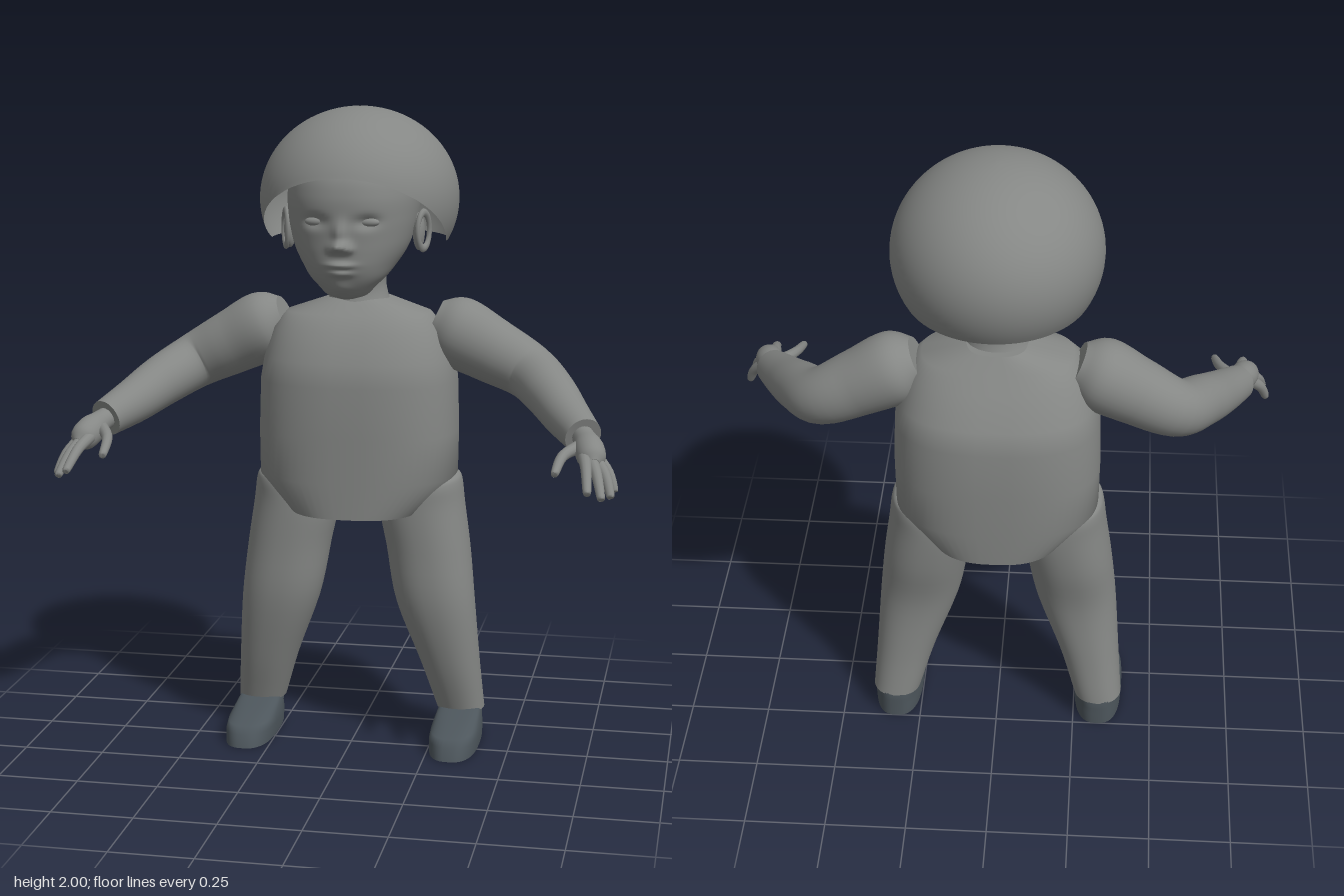
import * as THREE from 'three';

const grey = new THREE.MeshStandardMaterial({ color: 0x858785 });
grey.name = 'body grey';
const hairGrey = new THREE.MeshStandardMaterial({ color: 0x858785, side: THREE.DoubleSide });
hairGrey.name = 'hair grey';
const slate = new THREE.MeshStandardMaterial({ color: 0x4d565c });
slate.name = 'shoe slate';

// Skin a list of closed rings, with flat caps at both ends
function skin(rings, capped = true) {
  const n = rings[0].length, pos = [], idx = [];
  rings.forEach(r => r.forEach(p => pos.push(p.x, p.y, p.z)));
  for (let i = 0; i < rings.length - 1; i++) {
    for (let j = 0; j < n; j++) {
      const a = i * n + j, b = i * n + (j + 1) % n;
      idx.push(a, a + n, b, b, a + n, b + n);
    }
  }
  const cap = (ring, top) => {
    const base = pos.length / 3, c = new THREE.Vector3();
    ring.forEach(p => { pos.push(p.x, p.y, p.z); c.addScaledVector(p, 1 / n); });
    pos.push(c.x, c.y, c.z);
    for (let j = 0; j < n; j++) {
      const a = base + j, b = base + (j + 1) % n;
      idx.push(base + n, top ? b : a, top ? a : b);
    }
  };
  if (capped) { cap(rings[0], false); cap(rings.at(-1), true); }
  const g = new THREE.BufferGeometry();
  g.setAttribute('position', new THREE.Float32BufferAttribute(pos, 3));
  g.setIndex(idx);
  g.computeVertexNormals();
  return g;
}

// Stack of superellipse sections; rows are [y, xMin, xMax, zFront, zBack]
function loft(rows, { power = 2, cols = 48, steps = 0, shape = null } = {}) {
  let list = rows;
  if (steps) {
    const spline = f => new THREE.CatmullRomCurve3(rows.map(f), false, 'catmullrom');
    const xs = spline(r => new THREE.Vector3(r[0], r[1], r[2]));
    const zs = spline(r => new THREE.Vector3(r[0], r[3], r[4]));
    list = Array.from({ length: steps + 1 }, (_, i) => {
      const a = xs.getPoint(i / steps), b = zs.getPoint(i / steps);
      return [a.x, a.y, a.z, b.y, b.z];
    });
  }
  const round = v => Math.sign(v) * Math.abs(v) ** (2 / power);
  return skin(list.map(([y, x0, x1, zf, zb]) => Array.from({ length: cols }, (_, j) => {
    const a = j / cols * Math.PI * 2;
    const p = new THREE.Vector3((x0 + x1) / 2 + (x1 - x0) / 2 * round(Math.cos(a)), y,
      (zf + zb) / 2 + (zf - zb) / 2 * round(Math.sin(a)));
    if (shape) shape(p, Math.sin(a));
    return p;
  })));
}

// Round limb along a curve; points are [x, y, z, radius]
function limb(points, steps = 24, cols = 24) {
  const curve = new THREE.CatmullRomCurve3(points.map(p => new THREE.Vector3(...p.slice(0, 3))), false, 'catmullrom');
  const radii = new THREE.CatmullRomCurve3(points.map(p => new THREE.Vector3(p[3], 0, 0)), false, 'catmullrom');
  let N = new THREE.Vector3(0, 1, 0);
  const rings = [];
  for (let i = 0; i <= steps; i++) {
    const T = curve.getTangent(i / steps), c = curve.getPoint(i / steps), r = radii.getPoint(i / steps).x;
    N = N.clone().addScaledVector(T, -N.dot(T)).normalize();
    const B = T.clone().cross(N);
    rings.push(Array.from({ length: cols }, (_, j) => {
      const a = j / cols * Math.PI * 2;
      return c.clone().addScaledVector(N, r * Math.cos(a)).addScaledVector(B, -r * Math.sin(a));
    }));
  }
  return skin(rings);
}

function ellipsoid(x, y, z, rx, ry, rz) {
  return new THREE.SphereGeometry(1, 24, 16).scale(rx, ry, rz).translate(x, y, z);
}

function mirrored(geometry) {
  const g = geometry.clone().scale(-1, 1, 1);
  g.setIndex(Array.from(g.index.array).reverse());
  return g;
}

// Bowl of hair, cut level at the back and slanting up to the forehead
function hairGeometry() {
  const cols = 72, steps = 28, rings = [];
  const point = (a, t) => new THREE.Vector3(0.307 * Math.sin(t) * Math.cos(a),
    1.72 + 0.28 * Math.cos(t), -0.14 + 0.336 * Math.sin(t) * Math.sin(a));
  const limits = Array.from({ length: cols }, (_, j) => {
    const a = j / cols * Math.PI * 2;
    let t = 0.5;
    for (; t < 2.1; t += 0.004) {
      const p = point(a, t), s = Math.max(0, p.z + 0.11);
      if (p.y < 1.595 + 0.6 * s + 0.4 * s * s) break;
    }
    return t;
  });
  for (let i = steps; i >= 0; i--) {
    rings.push(limits.map((end, j) => point(j / cols * Math.PI * 2, 0.02 + (end - 0.02) * i / steps)));
  }
  return skin(rings, false);
}

// Raised and sunken features: [x, y, width, height, depth]
const features = [
  [0, 1.603, 0.024, 0.016, 0.046], [0, 1.64, 0.018, 0.034, 0.022],
  [0.026, 1.593, 0.012, 0.011, 0.014], [-0.026, 1.593, 0.012, 0.011, 0.014],
  [0, 1.546, 0.036, 0.009, 0.019], [0, 1.521, 0.031, 0.01, 0.015], [0, 1.472, 0.03, 0.018, 0.006],
  [0.078, 1.675, 0.034, 0.018, -0.018], [-0.078, 1.675, 0.034, 0.018, -0.018],
];
function face(p, front) {
  if (front < 0.2) return;
  const { x, y } = p;
  for (const [fx, fy, w, h, d] of features) {
    p.z += d * Math.exp(-(((x - fx) / w) ** 2) - ((y - fy) / h) ** 2);
  }
}

export function createModel() {
  const model = new THREE.Group();
  const add = (name, geometry, material = grey) => {
    const m = new THREE.Mesh(geometry, material);
    m.name = name;
    model.add(m);
  };
  const pair = (name, geometry, material = grey) => {
    add('left' + name, geometry, material);
    add('right' + name, mirrored(geometry), material);
  };
  const even = rows => rows.map(([y, w, zf, zb]) => [y, -w, w, zf, zb]);

  // Torso with slanted hips and sloping shoulders
  add('torso', loft(even([
    [0.75, 0.21, 0.1, -0.37], [0.86, 0.31, 0.1, -0.377], [1.0, 0.312, 0.1, -0.38], [1.16, 0.307, 0.1, -0.38],
    [1.23, 0.295, 0.085, -0.36], [1.32, 0.265, 0.045, -0.3], [1.37, 0.225, 0, -0.265], [1.415, 0.09, -0.055, -0.235],
  ]), { power: 2.6, cols: 64 }));

  // Neck and head
  add('neck', loft(even([
    [1.37, 0.11, -0.03, -0.23], [1.43, 0.09, -0.053, -0.207], [1.48, 0.085, -0.05, -0.203],
    [1.55, 0.1, -0.03, -0.21], [1.64, 0.13, 0, -0.25],
  ]), { steps: 16 }));
  add('head', loft(even([
    [1.435, 0.025, 0.095, 0.02], [1.447, 0.06, 0.12, 0], [1.475, 0.088, 0.145, -0.03], [1.505, 0.118, 0.162, -0.08],
    [1.54, 0.143, 0.174, -0.15], [1.58, 0.167, 0.178, -0.2], [1.62, 0.182, 0.18, -0.23], [1.68, 0.195, 0.185, -0.27],
    [1.75, 0.2, 0.186, -0.3], [1.82, 0.185, 0.162, -0.29], [1.9, 0.13, 0.085, -0.22], [1.96, 0.04, -0.04, -0.16],
  ]), { power: 2.2, cols: 112, steps: 88, shape: face }));
  pair('Eye', ellipsoid(0.08, 1.674, 0.148, 0.033, 0.014, 0.016));
  pair('Ear', ellipsoid(0.2, 1.63, -0.045, 0.018, 0.058, 0.034));
  pair('EarRim', new THREE.TorusGeometry(0.034, 0.008, 8, 24).scale(1, 1.6, 1)
    .rotateY(Math.PI / 2 - 0.4).translate(0.214, 1.632, -0.047));
  add('hair', hairGeometry(), hairGrey);

  // Arms: shoulder, elbow, wrist
  pair('Arm', limb([
    [0.235, 1.34, -0.145, 0.07], [0.3, 1.312, -0.147, 0.11], [0.41, 1.255, -0.15, 0.102], [0.53, 1.193, -0.14, 0.088],
    [0.61, 1.145, -0.03, 0.08], [0.67, 1.1, 0.08, 0.07], [0.73, 1.062, 0.19, 0.057],
  ], 36, 32));

  // Hands with a thumb and four fingers
  pair('Palm', limb([
    [0.725, 1.065, 0.18, 0.033], [0.74, 1.055, 0.22, 0.035], [0.754, 1.04, 0.265, 0.044],
    [0.766, 1.022, 0.31, 0.04], [0.772, 1.012, 0.335, 0.018],
  ], 16));
  const fingers = {
    Thumb: [[0.725, 1.045, 0.25], [0.683, 1.03, 0.33], [0.67, 1.0, 0.42]],
    IndexFinger: [[0.742, 1.03, 0.3], [0.756, 1.005, 0.39], [0.766, 0.96, 0.472]],
    MiddleFinger: [[0.762, 1.022, 0.31], [0.785, 0.99, 0.375], [0.803, 0.937, 0.435]],
    RingFinger: [[0.775, 1.018, 0.3], [0.808, 0.98, 0.34], [0.826, 0.93, 0.378]],
    LittleFinger: [[0.775, 1.02, 0.27], [0.813, 0.98, 0.295], [0.833, 0.932, 0.315]],
  };
  for (const [name, [a, b, c]] of Object.entries(fingers)) {
    const tip = c.map((v, i) => v + (c[i] - b[i]) * 0.06);
    pair(name, limb([[...a, 0.02], [...b, 0.016], [...c, 0.012], [...tip, 0.004]], 12, 12));
  }

  // Legs, rounded over the hips
  pair('Leg', loft([
    [0.085, 0.252, 0.403, -0.095, -0.25], [0.25, 0.2, 0.39, -0.045, -0.235], [0.45, 0.126, 0.375, -0.004, -0.232],
    [0.62, 0.093, 0.357, 0, -0.265], [0.76, 0.07, 0.337, 0, -0.28], [0.83, 0.12, 0.328, -0.006, -0.277],
    [0.855, 0.18, 0.318, -0.03, -0.255], [0.865, 0.23, 0.295, -0.08, -0.2],
  ], { steps: 32, power: 2.2 }));

  // Wedge-shaped shoes
  pair('Shoe', loft([
    [0, 0.252, 0.404, 0.132, -0.25], [0.04, 0.25, 0.406, 0.12, -0.25], [0.062, 0.254, 0.402, 0.1, -0.25],
    [0.085, 0.26, 0.396, -0.04, -0.25], [0.1, 0.268, 0.39, -0.11, -0.245], [0.112, 0.285, 0.372, -0.2, -0.238],
  ], { power: 2.7 }), slate);
  return model;
}
